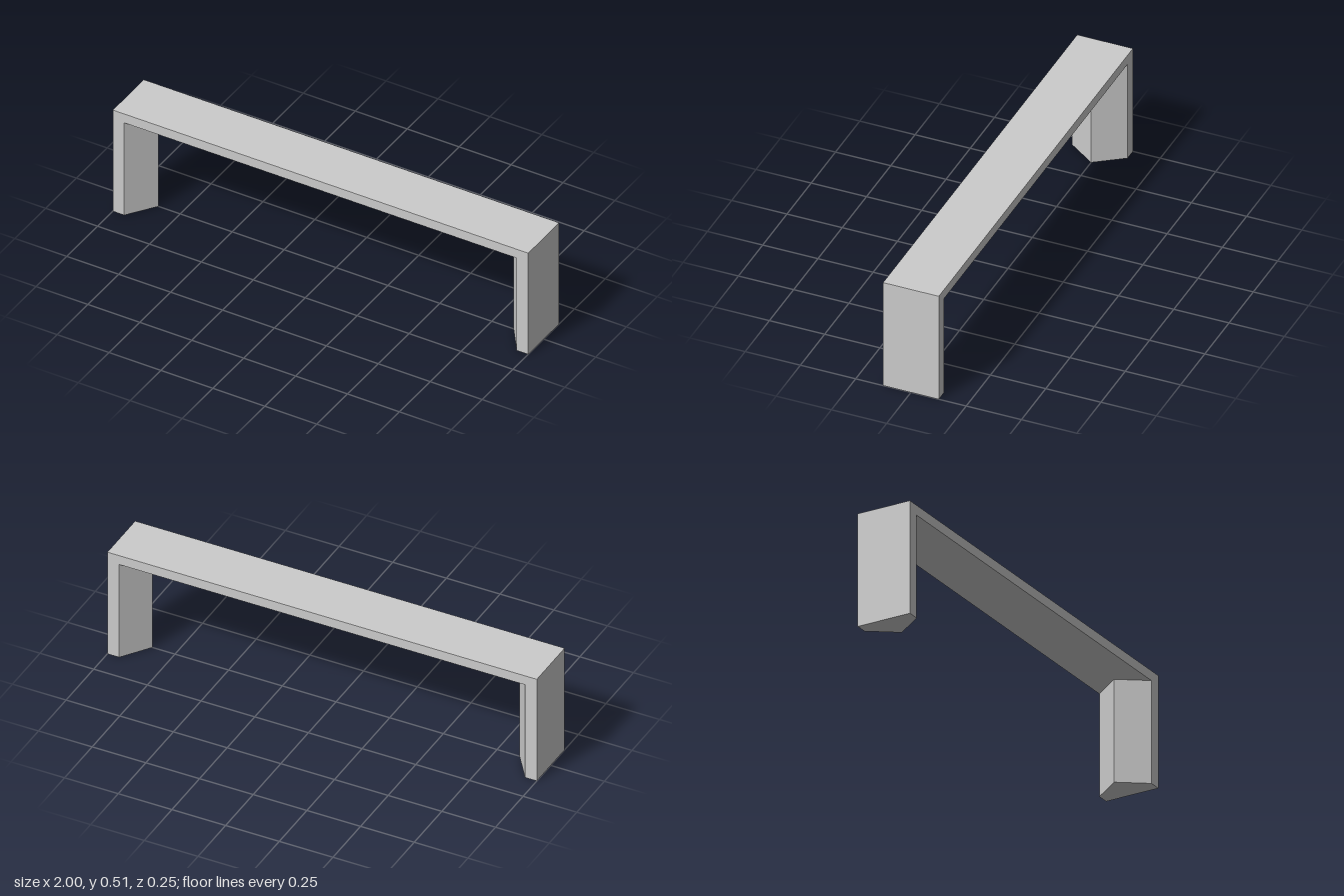
import * as THREE from 'three';

const DEPTH = 0.252, HEIGHT = 0.515, BEAM = 0.045;
const LEG_H = HEIGHT - BEAM;

export function createModel() {
  const group = new THREE.Group();
  const material = new THREE.MeshStandardMaterial({ color: 0xcccccc, flatShading: true });

  // Flat slab across the top
  const beam = new THREE.Mesh(new THREE.BoxGeometry(2, BEAM, DEPTH), material);
  beam.name = 'topBeam';
  beam.position.y = HEIGHT - BEAM / 2;
  group.add(beam);

  // Five-sided legs: flat outside, inner side peaked at mid depth
  const h = DEPTH / 2;
  for (const [name, s] of [['leftLeg', 1], ['rightLeg', -1]]) {
    const outline = [[1, -h], [1, h], [0.945, h], [0.855, 0], [0.945, -h]];
    const shape = new THREE.Shape(outline.map(([x, z]) => new THREE.Vector2(s * x, z)));
    const geometry = new THREE.ExtrudeGeometry(shape, { depth: LEG_H, bevelEnabled: false });
    geometry.rotateX(-Math.PI / 2);
    const leg = new THREE.Mesh(geometry, material);
    leg.name = name;
    group.add(leg);
  }
  return group;
}
